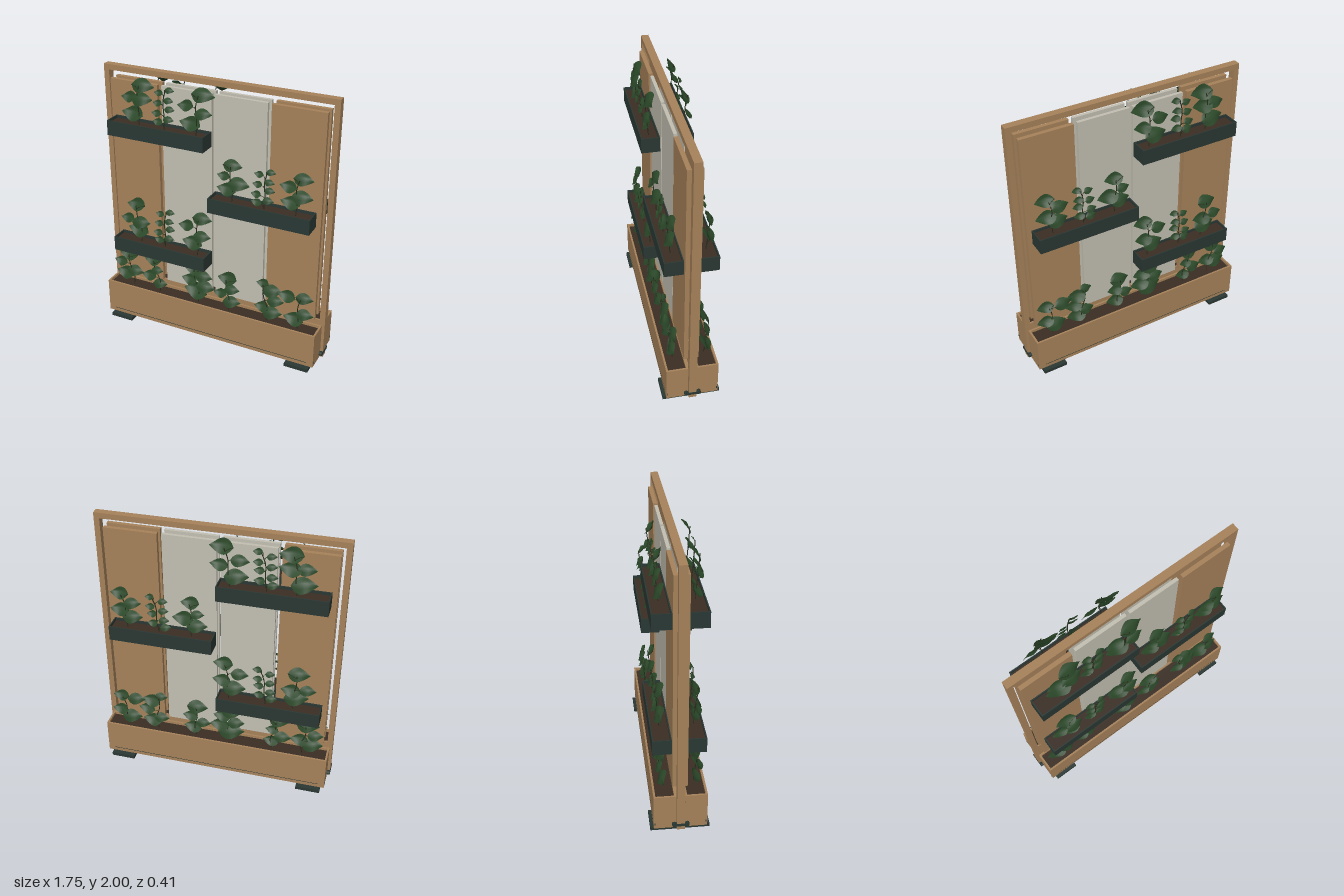
import * as THREE from 'three';

const mat = (color, side = THREE.FrontSide) => new THREE.MeshStandardMaterial({ color, side });
const wood = mat(0xa6825a);
const pale = mat(0xc3bfb2);
const dark = mat(0x2a3834);
const soil = mat(0x3a2d23);
const stemMat = mat(0x2c3320);
const leafMat = mat(0x2a4728, THREE.DoubleSide);

// Box given by its min and max corners
function box(parent, name, material, [x0, y0, z0], [x1, y1, z1]) {
  const m = new THREE.Mesh(new THREE.BoxGeometry(Math.abs(x1 - x0), y1 - y0, Math.abs(z1 - z0)), material);
  m.position.set((x0 + x1) / 2, (y0 + y1) / 2, (z0 + z1) / 2);
  m.name = name;
  parent.add(m);
  return m;
}

// Open trough with thin walls, a floor and a soil bed
function trough(name, material, x0, x1, y0, y1, z0, z1, t, soilDrop) {
  const g = new THREE.Group();
  g.name = name;
  box(g, 'frontBoard', material, [x0, y0, z1 - t], [x1, y1, z1]);
  box(g, 'backBoard', material, [x0, y0, z0], [x1, y1, z0 + t]);
  for (const x of [x0, x1 - t]) box(g, 'endBoard', material, [x, y0, z0 + t], [x + t, y1, z1 - t]);
  box(g, 'floor', material, [x0 + t, y0 + 0.005, z0 + t], [x1 - t, y0 + 0.02, z1 - t]);
  box(g, 'soil', soil, [x0 + t, y0 + 0.02, z0 + t], [x1 - t, y1 - soilDrop, z1 - t]);
  return g;
}

// Unit leaf: base at the origin, tip at x = 1, cupped and drooping
function makeLeafGeometry() {
  const geo = new THREE.PlaneGeometry(1, 1, 10, 4);
  const p = geo.attributes.position;
  for (let i = 0; i < p.count; i++) {
    const t = p.getX(i) + 0.5;
    const v = p.getY(i) * 2;
    const w = 0.34 * Math.sin(Math.PI * Math.pow(t, 0.75));
    const y = v * w * (v > 0 ? 0.75 : 1.15);
    p.setXYZ(i, t, y + 0.08 * Math.sin(Math.PI * t) - 0.04 * t, 0.1 * Math.sin(Math.PI * t) - 0.16 * Math.abs(v) * w * 2 + 0.03 * Math.sin(9 * t) * v);
  }
  geo.computeVertexNormals();
  return geo;
}
const leafGeo = makeLeafGeometry();

function tube(parent, name, points, radius) {
  const curve = new THREE.CatmullRomCurve3(points);
  const m = new THREE.Mesh(new THREE.TubeGeometry(curve, 12, radius, 5), stemMat);
  m.name = name;
  parent.add(m);
  return curve;
}

// Plant from a stem and leaf centres [x, y, length]; m mirrors it in x
function plant(baseX, baseY, z, leaves, m) {
  const g = new THREE.Group();
  g.name = 'plant';
  const top = leaves.reduce((a, b) => (b[1] > a[1] ? b : a));
  const height = top[1] - baseY;
  const tipX = baseX + (top[0] - baseX) * 0.6;
  const stem = tube(g, 'stem', [
    new THREE.Vector3(m * baseX, baseY - 0.02, z),
    new THREE.Vector3(m * (baseX + 0.012), baseY + height * 0.35, z + 0.012),
    new THREE.Vector3(m * ((baseX + tipX) / 2 - 0.008), baseY + height * 0.7, z + 0.02),
    new THREE.Vector3(m * tipX, top[1], z + 0.03)], 0.0035);
  leaves.forEach(([x, y, len], i) => {
    const joint = stem.getPoint(THREE.MathUtils.clamp((y - 0.03 - baseY) / height, 0.05, 0.97));
    const dir = m * x >= joint.x ? 1 : -1;
    const leaf = new THREE.Mesh(leafGeo, leafMat);
    leaf.name = 'leaf';
    leaf.scale.set(len, len, len);
    leaf.position.set(m * x - dir * len / 2, y, z + 0.015 + 0.01 * (i % 3));
    // Turning about y points the leaf the other way; tilt keeps the face upward
    leaf.rotation.order = 'ZYX';
    leaf.rotation.set(dir > 0 ? -0.6 : 0.6, dir > 0 ? 0.12 : Math.PI - 0.12, dir * (0.1 - 0.1 * (i % 2)));
    g.add(leaf);
    tube(g, 'leafStalk', [joint, joint.clone().lerp(leaf.position, 0.5).add(new THREE.Vector3(0, 0.006, 0)), leaf.position.clone()], 0.002);
  });
  return g;
}

// Slender plant with small leaves alternating up the stem
function sprig(x, y, height) {
  const leaves = [];
  for (let i = 0; i < 8; i++) {
    const f = (i + 1) / 8;
    leaves.push([x + 0.02 * f + (i % 2 ? 0.045 : -0.045), y + height * f, 0.085 - 0.015 * f]);
  }
  return leaves;
}

// Shelves: [x0, x1, y0, y1, plants as [baseX, leaves]]
const shelves = [
  [-0.77, -0.015, 1.535, 1.645, [
    [-0.55, [[-0.595, 1.7, 0.18], [-0.61, 1.83, 0.13], [-0.5, 1.82, 0.16], [-0.5, 1.92, 0.17]]],
    [-0.35, sprig(-0.35, 1.64, 0.28)],
    [-0.1, [[-0.145, 1.7, 0.17], [-0.17, 1.835, 0.13], [-0.03, 1.79, 0.13], [-0.04, 1.92, 0.17]]]]],
  [0.015, 0.765, 1.095, 1.205, [
    [0.17, [[0.13, 1.27, 0.15], [0.23, 1.335, 0.16], [0.12, 1.38, 0.1], [0.18, 1.46, 0.14]]],
    [0.41, sprig(0.4, 1.19, 0.28)],
    [0.64, [[0.6, 1.27, 0.15], [0.69, 1.335, 0.15], [0.59, 1.395, 0.13], [0.69, 1.46, 0.14]]]]],
  [-0.77, -0.015, 0.605, 0.715, [
    [-0.57, [[-0.59, 0.785, 0.18], [-0.67, 0.88, 0.12], [-0.55, 0.86, 0.15], [-0.6, 1.0, 0.16]]],
    [-0.37, sprig(-0.37, 0.71, 0.29)],
    [-0.1, [[-0.14, 0.785, 0.17], [-0.18, 0.93, 0.13], [-0.05, 0.86, 0.14], [-0.055, 1.0, 0.15]]]]],
];

// Plants in the ground planter
const groundPlants = [
  [-0.66, [[-0.73, 0.375, 0.16], [-0.63, 0.425, 0.14], [-0.75, 0.485, 0.12], [-0.69, 0.56, 0.17]]],
  [-0.43, [[-0.42, 0.355, 0.12], [-0.51, 0.42, 0.13], [-0.43, 0.48, 0.1], [-0.48, 0.56, 0.15]]],
  [-0.1, [[-0.12, 0.375, 0.2], [-0.03, 0.44, 0.15], [-0.16, 0.48, 0.13], [-0.05, 0.52, 0.14], [-0.13, 0.58, 0.18]]],
  [0.15, [[0.18, 0.36, 0.14], [0.09, 0.43, 0.11], [0.19, 0.48, 0.12], [0.14, 0.56, 0.16]]],
  [0.45, [[0.5, 0.36, 0.15], [0.42, 0.41, 0.12], [0.53, 0.48, 0.13], [0.42, 0.6, 0.1], [0.5, 0.55, 0.15]]],
  [0.69, [[0.66, 0.36, 0.16], [0.75, 0.43, 0.13], [0.61, 0.55, 0.14], [0.74, 0.555, 0.13]]],
];

// Everything on one face of the wall; m = -1 mirrors it for the back
function makeSide(name, m) {
  const g = new THREE.Group();
  g.name = name;
  // Wall panels, wood outside and pale inside
  [[-0.805, -0.43, wood, 0.052], [-0.4, -0.015, pale, 0.046], [0.01, 0.39, pale, 0.046], [0.42, 0.8, wood, 0.052]]
    .forEach(([x0, x1, material, z]) => box(g, 'wallPanel', material, [m * x0, 0.36, 0.022], [m * x1, 1.91, z]));
  // Hanging troughs with their plants
  for (const [x0, x1, y0, y1, plants] of shelves) {
    const [a, b] = m > 0 ? [x0, x1] : [-x1, -x0];
    g.add(trough('shelfTrough', dark, a, b, y0, y1, 0.052, 0.182, 0.008, 0.02));
    for (const [x, leaves] of plants) g.add(plant(x, y1 - 0.02, 0.115, leaves, m));
  }
  // Ground planter
  g.add(trough('groundPlanter', wood, -0.85, 0.85, 0.045, 0.31, 0.03, 0.184, 0.014, 0.02));
  for (const [x, leaves] of groundPlants) g.add(plant(x, 0.29, 0.11, leaves, m));
  box(g, 'seamStrip', dark, [-0.8, 0.072, 0.18], [0.8, 0.076, 0.1845]);
  for (const x of [-0.845, 0.845]) box(g, 'cornerScrew', dark, [x - 0.008, 0.075, 0.172], [x + 0.008, 0.09, 0.178]);
  return g;
}

export function createModel() {
  const model = new THREE.Group();
  model.name = 'greenWallDivider';

  // Outer frame
  box(model, 'topRail', wood, [-0.87, 1.96, -0.027], [0.87, 2, 0.027]);
  box(model, 'baseRail', wood, [-0.83, 0.05, -0.03], [0.83, 0.075, 0.03]);

  for (const s of [-1, 1]) {
    box(model, 'post', wood, [s * 0.83, 0.04, -0.027], [s * 0.87, 1.96, 0.027]);
    // Foot with spacer
    box(model, 'foot', dark, [s * 0.64, 0.004, -0.205], [s * 0.82, 0.03, 0.205]);
    box(model, 'footPad', dark, [s * 0.66, 0, -0.19], [s * 0.8, 0.004, 0.19]);
    box(model, 'footSpacer', dark, [s * 0.69, 0.03, -0.14], [s * 0.77, 0.05, 0.14]);
    // Bracket tying the post to both planters
    box(model, 'bracketPlate', dark, [s * 0.848, 0.068, -0.05], [s * 0.873, 0.088, 0.05]);
    for (const z of [-0.045, 0.045]) {
      const bolt = new THREE.Mesh(new THREE.CylinderGeometry(0.015, 0.015, 0.022, 12), dark);
      bolt.name = 'bolt';
      bolt.rotation.z = Math.PI / 2;
      bolt.position.set(s * 0.861, 0.078, z);
      model.add(bolt);
    }
  }

  const back = makeSide('backSide', -1);
  back.rotation.y = Math.PI;
  model.add(makeSide('frontSide', 1), back);
  return model;
}
